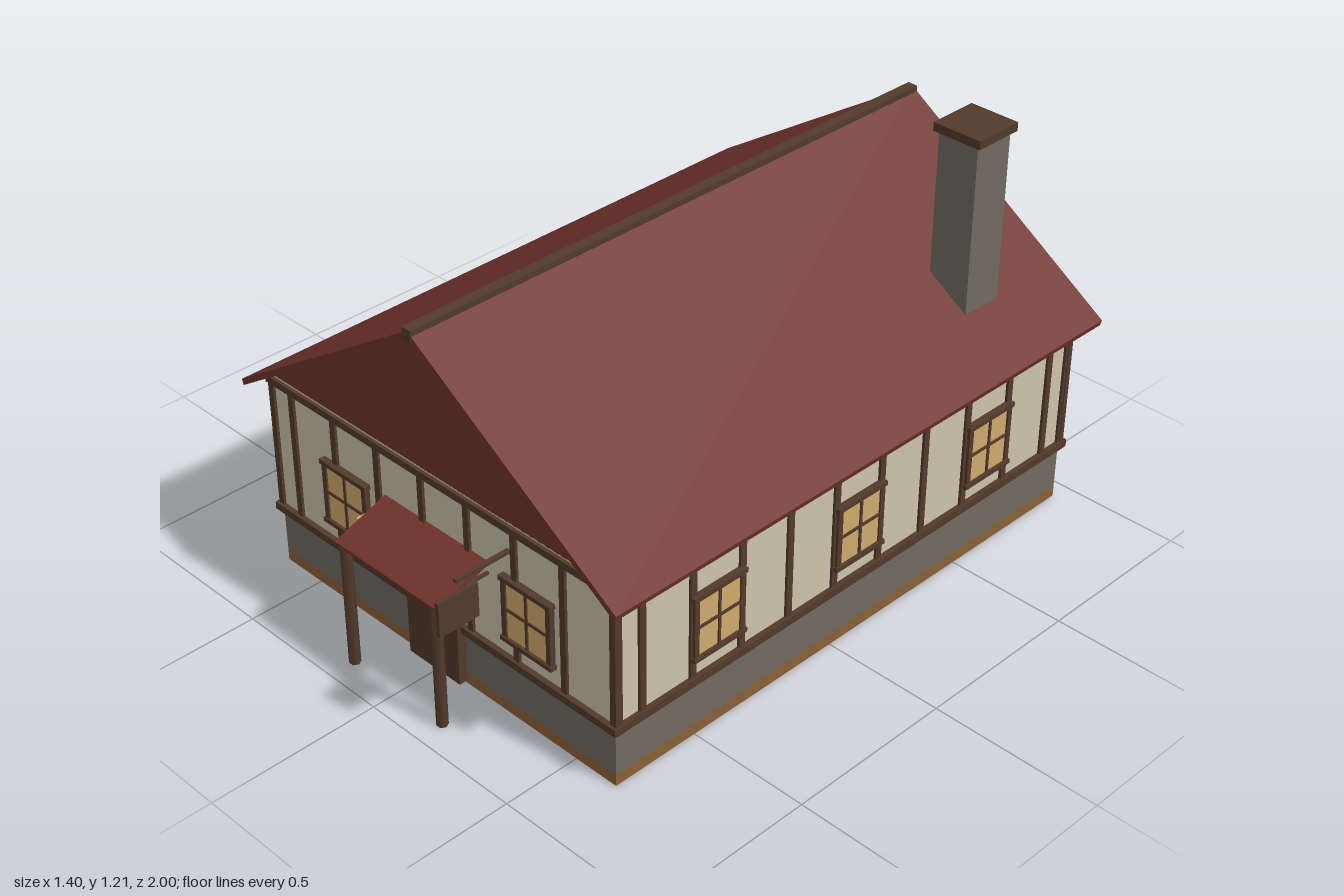
import * as THREE from 'three';

const mat = (name, color, extra = {}) => {
  const m = new THREE.MeshStandardMaterial({ color, ...extra });
  m.name = name;
  return m;
};

export function createModel() {
  const plaster = mat('plaster', 0xcdc3ab);
  const stone = mat('stone', 0x706a61);
  const timber = mat('dark timber', 0x523a2c);
  const tile = mat('red roof tile', 0x6f332c);
  const glass = mat('warm glass', 0xcfa96c);
  const floorWood = mat('floor wood', 0x8a6038);

  const house = new THREE.Group();
  house.name = 'house';
  const group = (name, parent = house) => {
    const g = new THREE.Group();
    g.name = name;
    parent.add(g);
    return g;
  };
  const add = (name, geo, m, x, y, z, parent = house) => {
    const mesh = new THREE.Mesh(geo, m);
    mesh.name = name;
    mesh.position.set(x, y, z);
    parent.add(mesh);
    return mesh;
  };
  // Box given by its minimum and maximum corners
  const box = (name, m, x0, x1, y0, y1, z0, z1, parent) =>
    add(name, new THREE.BoxGeometry(x1 - x0, y1 - y0, z1 - z0), m,
      (x0 + x1) / 2, (y0 + y1) / 2, (z0 + z1) / 2, parent);
  // Cross-section in x and y, drawn out along z
  const prism = (name, m, pts, z0, z1) => {
    const shape = new THREE.Shape(pts.map(([x, y]) => new THREE.Vector2(x, y)));
    return add(name, new THREE.ExtrudeGeometry(shape, { depth: z1 - z0, bevelEnabled: false }), m, 0, 0, z0);
  };

  const W = 0.64, FRONT = 0.77, BACK = -0.94, MID = (FRONT + BACK) / 2;

  // Body
  box('floor', floorWood, -W, W, 0, 0.035, BACK, FRONT);
  box('foundation', stone, -W, W, 0.035, 0.175, BACK, FRONT);
  box('walls', plaster, -W, W, 0.175, 0.6, BACK, FRONT);

  // Roof
  prism('gables', tile, [[-W, 0.598], [W, 0.598], [0, 1.014]], BACK, FRONT);
  prism('roof', tile, [[0, 1.036], [-0.7, 0.58], [-0.695, 0.563], [0, 1.014], [0.695, 0.563], [0.7, 0.58]], -1, 0.822);
  box('ridgeCap', timber, -0.016, 0.016, 1.008, 1.042, -1, 0.824);

  // Chimney
  box('chimney', stone, 0.405, 0.532, 0.62, 1.187, -0.745, -0.615);
  box('chimneyCap', timber, 0.393, 0.545, 1.185, 1.21, -0.757, -0.605);

  // Wall frames: local x runs along the wall, local z points outward
  const wall = (name, x, z, turn) => {
    const g = group(name);
    g.position.set(x, 0, z);
    g.rotation.y = turn;
    return g;
  };
  const frontWall = wall('frontFraming', 0, FRONT, 0);
  const backWall = wall('backFraming', 0, BACK, Math.PI);
  const leftWall = wall('leftFraming', W, MID, Math.PI / 2);
  const rightWall = wall('rightFraming', -W, MID, -Math.PI / 2);

  const beams = (g, half) => {
    box('sillBeam', timber, -half, half, 0.17, 0.192, -0.01, 0.016, g);
    box('topBeam', timber, -half, half, 0.574, 0.595, -0.01, 0.01, g);
  };
  const stud = (g, x) => box('stud', timber, x - 0.01, x + 0.01, 0.18, 0.585, -0.008, 0.008, g);
  for (const g of [frontWall, backWall]) {
    const s = g === frontWall ? 1 : -1;
    beams(g, W + 0.015);
    for (let i = 0; i < 8; i++) stud(g, s * (-0.557 + i * 0.171));
    stud(g, -s * 0.638);
  }
  for (const g of [leftWall, rightWall]) {
    beams(g, (FRONT - BACK) / 2 + 0.01);
    for (let i = -5; i <= 5; i++) if (i) stud(g, (i - Math.sign(i) * 0.5) * 0.171);
    for (const s of [-1, 1]) stud(g, s * 0.77);
    for (const s of [-1, 1]) stud(g, s * 0.848);
  }

  // Windows with frame, crossbars and projecting ledges
  const paneledWindow = (parent, x) => {
    const g = group('window', parent);
    g.position.x = x;
    box('pane', glass, -0.078, 0.078, 0.25, 0.436, 0.003, 0.011, g);
    for (const s of [-1, 1]) box('jamb', timber, s * 0.08 - 0.008, s * 0.08 + 0.008, 0.25, 0.436, 0, 0.016, g);
    box('mullion', timber, -0.004, 0.004, 0.25, 0.436, 0.005, 0.015, g);
    box('crossbar', timber, -0.078, 0.078, 0.339, 0.347, 0.005, 0.015, g);
    box('lintel', timber, -0.092, 0.092, 0.428, 0.441, 0, 0.02, g);
    box('ledge', timber, -0.092, 0.092, 0.244, 0.257, 0, 0.02, g);
  };
  for (const x of [-0.345, 0.345]) paneledWindow(frontWall, x);
  paneledWindow(backWall, 0);
  for (const g of [leftWall, rightWall]) for (const x of [-0.515, 0, 0.515]) paneledWindow(g, x);

  // Door and porch
  box('door', timber, -0.097, 0.097, 0.01, 0.38, FRONT - 0.01, 0.797);
  const porch = group('porch');
  const canopy = box('porchRoof', tile, -0.193, 0.193, -0.008, 0.008, -0.09, 0.09, porch);
  canopy.position.set(0, 0.405, 0.85);
  canopy.rotation.x = Math.atan2(0.06, 0.17);
  for (const s of [-1, 1]) {
    const post = add('porchPost', new THREE.CylinderGeometry(0.016, 0.016, 0.372, 6), timber, s * 0.172, 0.186, 0.92, porch);
    post.rotation.y = Math.PI / 6;
    // Lantern on a short wall arm
    box('lanternArm', timber, s * 0.195 - 0.004, s * 0.195 + 0.004, 0.402, 0.41, FRONT, 0.845, porch);
    box('lantern', glass, s * 0.195 - 0.016, s * 0.195 + 0.016, 0.366, 0.403, 0.82, 0.853, porch);
  }

  // Hanging sign board and bracket
  const sign = group('hangingSign');
  box('signBracket', timber, 0.269, 0.281, 0.51, 0.52, FRONT, 0.94, sign);
  box('signBoard', timber, 0.269, 0.282, 0.38, 0.48, 0.875, 1, sign);

  return house;
}
